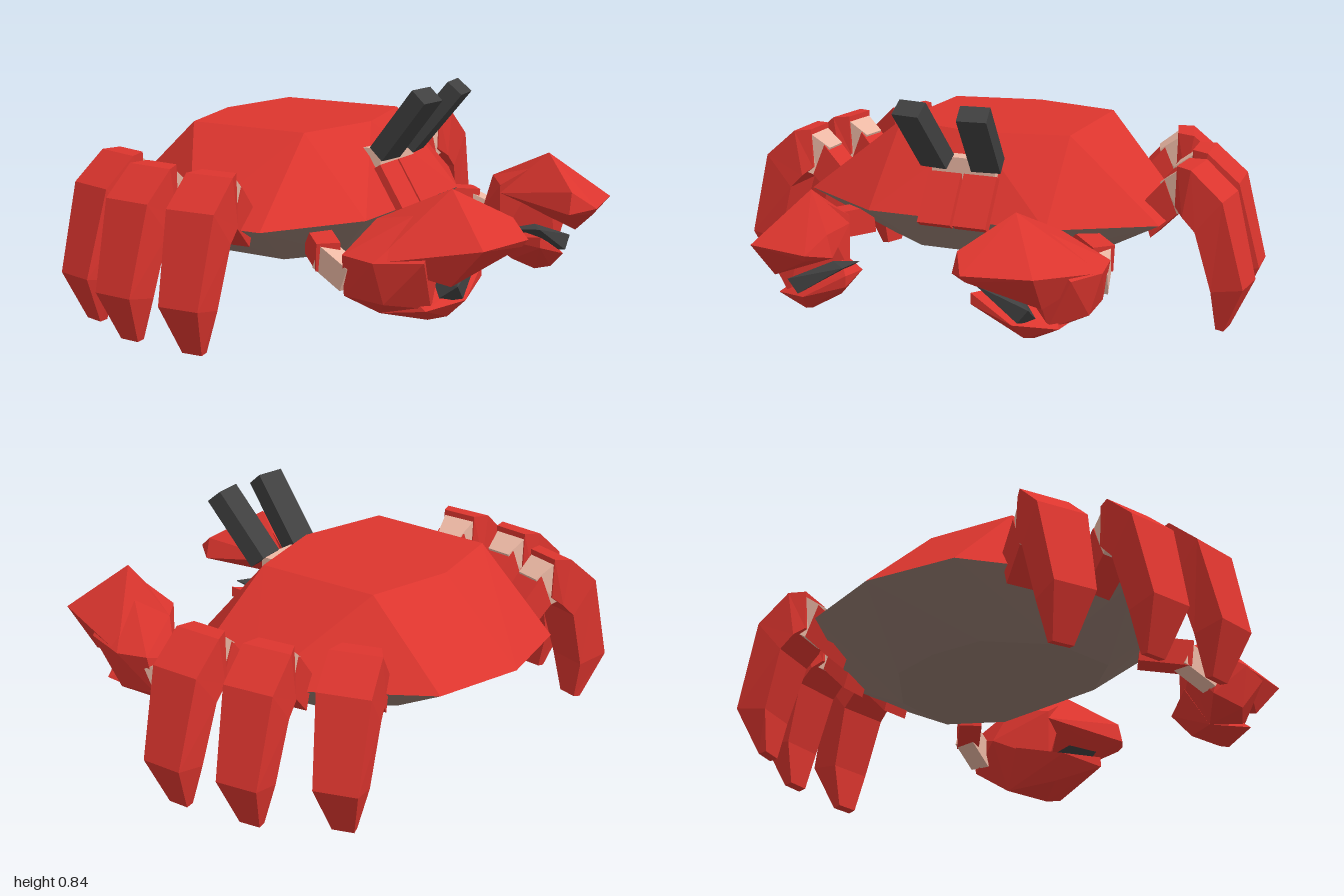
import * as THREE from 'three';
import { ConvexGeometry } from 'three/addons/geometries/ConvexGeometry.js';

const paint = (color) => new THREE.MeshStandardMaterial({ color, flatShading: true });

// Faceted solid around a few corner points; s = -1 mirrors it to the other side
function hull(name, points, material, s = 1) {
  const geo = new ConvexGeometry(points.map(([x, y, z]) => new THREE.Vector3(x, y, z * s)));
  const mesh = new THREE.Mesh(geo, material);
  mesh.name = name;
  return mesh;
}

// Box whose long axis runs between two points
function bar(name, a, b, width, depth, material) {
  const from = new THREE.Vector3(...a), to = new THREE.Vector3(...b);
  const mesh = new THREE.Mesh(new THREE.BoxGeometry(width, depth, from.distanceTo(to)), material);
  mesh.position.copy(from).add(to).multiplyScalar(0.5);
  mesh.lookAt(to);
  mesh.name = name;
  return mesh;
}

// Limb lofted through four-cornered sections: [outer z, outer y, inner z, inner y, half width]
function limb(name, sections, material) {
  const rings = sections.map(([oz, oy, iz, iy, w]) => [[-w, oy, oz], [w, oy, oz], [w, iy, iz], [-w, iy, iz]]);
  const pos = [];
  const tri = (...corners) => corners.forEach((c) => pos.push(...c));
  for (let i = 0; i < rings.length - 1; i++) {
    const r = rings[i], n = rings[i + 1];
    for (let k = 0; k < 4; k++) {
      const j = (k + 1) % 4;
      tri(r[k], n[k], r[j]);
      tri(r[j], n[k], n[j]);
    }
  }
  const a = rings[0], b = rings[rings.length - 1];
  tri(a[0], a[1], a[2]);
  tri(a[0], a[2], a[3]);
  tri(b[2], b[1], b[0]);
  tri(b[3], b[2], b[0]);
  const geo = new THREE.BufferGeometry();
  geo.setAttribute('position', new THREE.Float32BufferAttribute(pos, 3));
  geo.computeVertexNormals();
  const mesh = new THREE.Mesh(geo, material);
  mesh.name = name;
  return mesh;
}

export function createModel() {
  const model = new THREE.Group();
  model.name = 'crab';
  const red = paint(0xdc352e), pale = paint(0xecb8a4), dark = paint(0x404040), brown = paint(0x937a6f);

  // Body: red carapace above the rim, brown belly below it
  const both = (pts) => pts.flatMap(([x, y, z]) => (z ? [[x, y, z], [x, y, -z]] : [[x, y, z]]));
  const rim = both([[0.26, 0.4, 0.35], [0.04, 0.4, 0.7], [-0.25, 0.4, 0.7], [-0.78, 0.4, 0.345], [-0.86, 0.4, 0]]);
  const top = both([[0.08, 0.69, 0], [0, 0.69, 0.34], [-0.48, 0.69, 0.33], [-0.55, 0.69, 0]]);
  const bottom = both([[0.08, 0.235, 0.22], [-0.05, 0.235, 0.4], [-0.3, 0.235, 0.38], [-0.5, 0.235, 0.2], [-0.53, 0.235, 0]]);
  model.add(hull('carapace', [...rim, ...top], red));
  model.add(hull('belly', [...rim, ...bottom], brown));

  // Pale brow that carries the eye stalks
  model.add(bar('eyeSocket', [0.155, 0.575, -0.125], [0.155, 0.575, 0.125], 0.07, 0.08, pale));

  // Leg placement: root x, root z, backward sweep
  const legs = [[-0.095, 0, 0], [-0.265, -0.03, 0.13], [-0.37, -0.15, 0.32]];

  for (const s of [1, -1]) {
    const side = s > 0 ? 'front' : 'back';

    // Walking legs
    legs.forEach(([x, z, sweep], i) => {
      const leg = new THREE.Group();
      leg.name = `${side}Leg${i + 1}`;
      leg.add(
        limb('thigh', [[0.6, 0.45, 0.64, 0.33, 0.055], [0.69, 0.55, 0.74, 0.43, 0.06]], red),
        limb('knee', [[0.67, 0.54, 0.72, 0.42, 0.05], [0.755, 0.6, 0.76, 0.44, 0.07]], pale),
        limb('shin', [
          [0.74, 0.61, 0.735, 0.46, 0.07],
          [0.8, 0.605, 0.77, 0.43, 0.095],
          [0.92, 0.5, 0.82, 0.38, 0.097],
          [1.0, 0.18, 0.88, 0.16, 0.08],
          [0.92, 0.005, 0.89, 0.01, 0.04],
        ], red),
      );
      leg.position.set(x, 0, z * s);
      leg.rotation.y = s > 0 ? -sweep : Math.PI + sweep;
      model.add(leg);
    });

    // Claw: arm, wrist, palm and the two fingers
    const claw = new THREE.Group();
    claw.name = `${side}Claw`;
    claw.add(
      bar('arm', [0.1, 0.33, 0.42 * s], [0.23, 0.31, 0.56 * s], 0.085, 0.1, red),
      bar('wrist', [0.2, 0.31, 0.54 * s], [0.33, 0.25, 0.575 * s], 0.075, 0.09, pale),
      hull('palm', [
        [0.3, 0.3, 0.49], [0.31, 0.19, 0.59], [0.32, 0.34, 0.62], [0.36, 0.44, 0.45],
        [0.45, 0.43, 0.33], [0.45, 0.22, 0.33], [0.4, 0.12, 0.5], [0.45, 0.33, 0.64],
        [0.47, 0.18, 0.6], [0.62, 0.54, 0.39], [0.62, 0.34, 0.59], [0.6, 0.16, 0.5],
      ], red, s),
      hull('upperFinger', [
        [0.36, 0.44, 0.45], [0.45, 0.4, 0.33], [0.62, 0.56, 0.39], [0.45, 0.33, 0.635],
        [0.81, 0.39, 0.53], [0.86, 0.39, 0.29], [0.84, 0.365, 0.3], [0.78, 0.45, 0.245],
        [0.78, 0.37, 0.225], [0.65, 0.36, 0.3], [0.68, 0.25, 0.51],
      ], red, s),
      hull('lowerFinger', [
        [0.36, 0.27, 0.42], [0.4, 0.12, 0.5], [0.47, 0.24, 0.27], [0.5, 0.15, 0.34],
        [0.55, 0.1, 0.43], [0.62, 0.12, 0.42], [0.66, 0.23, 0.24], [0.66, 0.27, 0.24],
        [0.68, 0.18, 0.4], [0.6, 0.16, 0.54],
      ], red, s),
      hull('innerPincer', [
        [0.45, 0.23, 0.34], [0.5, 0.28, 0.265], [0.65, 0.295, 0.255], [0.68, 0.19, 0.42],
        [0.58, 0.17, 0.46], [0.68, 0.24, 0.46], [0.6, 0.3, 0.32],
      ], dark, s),
    );
    model.add(claw);

    // Eye stalk and mouth plate
    model.add(bar(`${side}Eye`, [0.195, 0.6, 0.1 * s], [0.38, 0.825, 0.125 * s], 0.11, 0.07, dark));
    model.add(bar(`${side}MouthPlate`, [0.18, 0.55, 0.07 * s], [0.285, 0.38, 0.07 * s], 0.13, 0.035, red));
  }
  return model;
}
